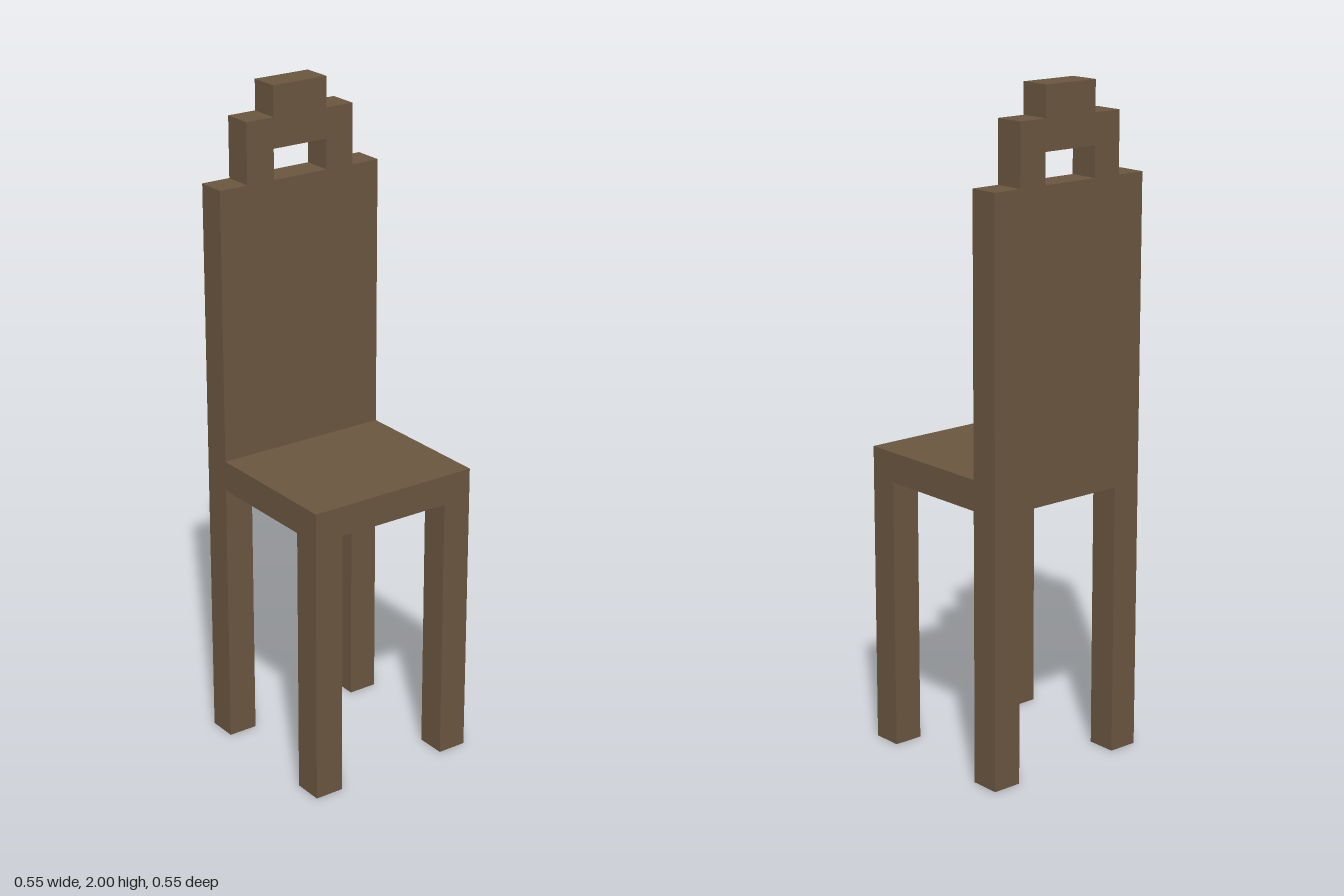
import * as THREE from 'three';

// The chair sits on a modular grid, 22 units tall
const U = 2 / 22;

export function createModel() {
  const group = new THREE.Group();
  group.name = 'chair';
  const wood = new THREE.MeshStandardMaterial({ color: 0x6b5640 });
  wood.name = 'brown wood';

  const add = (name, geometry, x, y, z) => {
    const mesh = new THREE.Mesh(geometry, wood);
    mesh.name = name;
    mesh.position.set(x * U, y * U, z * U);
    group.add(mesh);
  };
  const toPoints = (list) => list.map(([x, y]) => new THREE.Vector2(x * U, y * U));

  // Backrest with stepped crest and hand hole, in one piece with the rear legs
  const half = [[2, 0], [3, 0], [3, 19], [2, 19], [2, 21], [1, 21], [1, 22]];
  const mirrored = half.map(([x, y]) => [-x, y]).reverse();
  const outline = [[2, 9], ...half, ...mirrored, [-2, 9]];
  const shape = new THREE.Shape(toPoints(outline));
  shape.holes.push(new THREE.Path(toPoints([[-1, 19], [-1, 20], [1, 20], [1, 19]])));
  const back = new THREE.ExtrudeGeometry(shape, { depth: U, bevelEnabled: false });
  add('backrestAndRearLegs', back, 0, 0, -3);

  // Seat slab
  add('seat', new THREE.BoxGeometry(6 * U, U, 5 * U), 0, 9.5, 0.5);

  // Front legs
  for (const side of [-1, 1]) {
    const name = side > 0 ? 'frontLegLeft' : 'frontLegRight';
    add(name, new THREE.BoxGeometry(U, 9 * U, U), side * 2.5, 4.5, 2.5);
  }

  return group;
}
